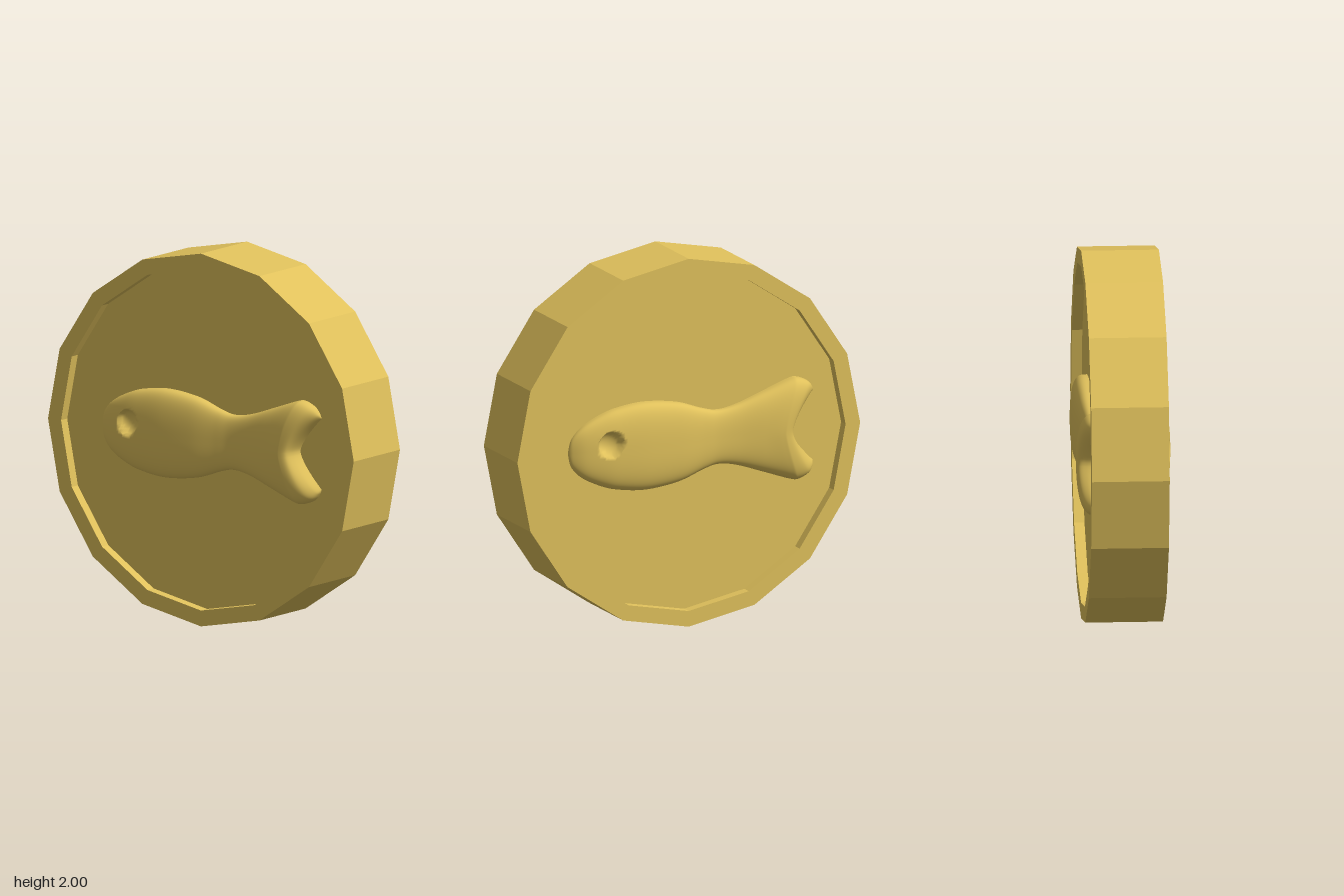
import * as THREE from 'three';

const gold = new THREE.MeshStandardMaterial({ color: 0xdfc05b });
gold.name = 'gold';

// Sixteen-sided coin with a raised rim and a sunken floor on both faces
function coinGeometry() {
  const R = 1, r = 0.915, edge = 0.205, floor = 0.15;
  const profile = [
    [0, -floor], [r, -floor], [r, -edge], [R, -edge],
    [R, edge], [r, edge], [r, floor], [0, floor],
  ].map(([a, b]) => new THREE.Vector2(a, b));
  const g = new THREE.LatheGeometry(profile, 16).toNonIndexed();
  g.computeVertexNormals();
  return g.rotateZ(-Math.PI / 2);
}

// Fish cross-sections from nose to tail:
// middle z, sweep of the edges in z, half width, height above the floor
const sections = [
  [0.68, 0, 0, 0], [0.66, 0, 0.075, 0.025], [0.6, 0, 0.138, 0.056],
  [0.5, 0, 0.19, 0.08], [0.4, 0, 0.22, 0.092], [0.24, 0, 0.237, 0.098],
  [0.05, 0, 0.215, 0.088], [-0.1, 0, 0.165, 0.066], [-0.19, 0, 0.147, 0.058],
  [-0.3, 0, 0.165, 0.066], [-0.43, -0.02, 0.217, 0.09],
  [-0.52, -0.08, 0.27, 0.11], [-0.55, -0.1, 0.275, 0.113],
  [-0.585, -0.125, 0.25, 0.1], [-0.6, -0.14, 0.215, 0.06], [-0.61, -0.14, 0.19, 0],
];
const eye = { z: 0.463, y: 0.042, r: 0.07, depth: 0.055 };

function fishGeometry() {
  const NU = 150, NV = 64;
  const along = new THREE.SplineCurve(sections.map((s) => new THREE.Vector2(s[0], s[1])));
  const across = new THREE.SplineCurve(sections.map((s) => new THREE.Vector2(s[2], s[3])));
  const pos = [], index = [];
  for (let i = 0; i <= NU; i++) {
    const a = along.getPoint(i / NU), b = across.getPoint(i / NU);
    for (let j = 0; j <= NV; j++) {
      const v = (Math.PI * j) / NV;
      const c = Math.pow(Math.abs(Math.cos(v)), 0.8);
      let x = b.y * Math.pow(Math.max(0, Math.sin(v)), 0.6);
      let y = b.x * c * Math.sign(Math.cos(v));
      let z = a.x + a.y * Math.pow(c, 1.4);
      // Press in the round eye, snapping nearby points onto its rim
      let d = Math.hypot(z - eye.z, y - eye.y);
      if (Math.abs(d - eye.r) < 0.006) {
        z = eye.z + ((z - eye.z) * eye.r) / d;
        y = eye.y + ((y - eye.y) * eye.r) / d;
        d = eye.r;
      }
      if (d < eye.r) x -= eye.depth * Math.sqrt(1 - (d / eye.r) ** 2);
      pos.push(x, y, z);
      if (i < NU && j < NV) {
        const p = i * (NV + 1) + j, q = p + NV + 1;
        index.push(p, p + 1, q, p + 1, q + 1, q);
      }
    }
  }
  const g = new THREE.BufferGeometry();
  g.setAttribute('position', new THREE.Float32BufferAttribute(pos, 3));
  g.setIndex(index);
  g.computeVertexNormals();
  return g;
}

export function createModel() {
  const model = new THREE.Group();
  model.name = 'fishCoin';

  const coin = new THREE.Mesh(coinGeometry(), gold);
  coin.name = 'coin';
  coin.position.set(-0.005, 1, 0);
  model.add(coin);

  // One fish relief on each face, turned half way round the upright axis
  const geometry = fishGeometry();
  for (const side of [1, -1]) {
    const fish = new THREE.Mesh(geometry, gold);
    fish.name = side > 0 ? 'leftFish' : 'rightFish';
    fish.position.set(-0.005 + side * 0.15, 1.002, 0);
    if (side < 0) fish.rotation.y = Math.PI;
    model.add(fish);
  }
  return model;
}
